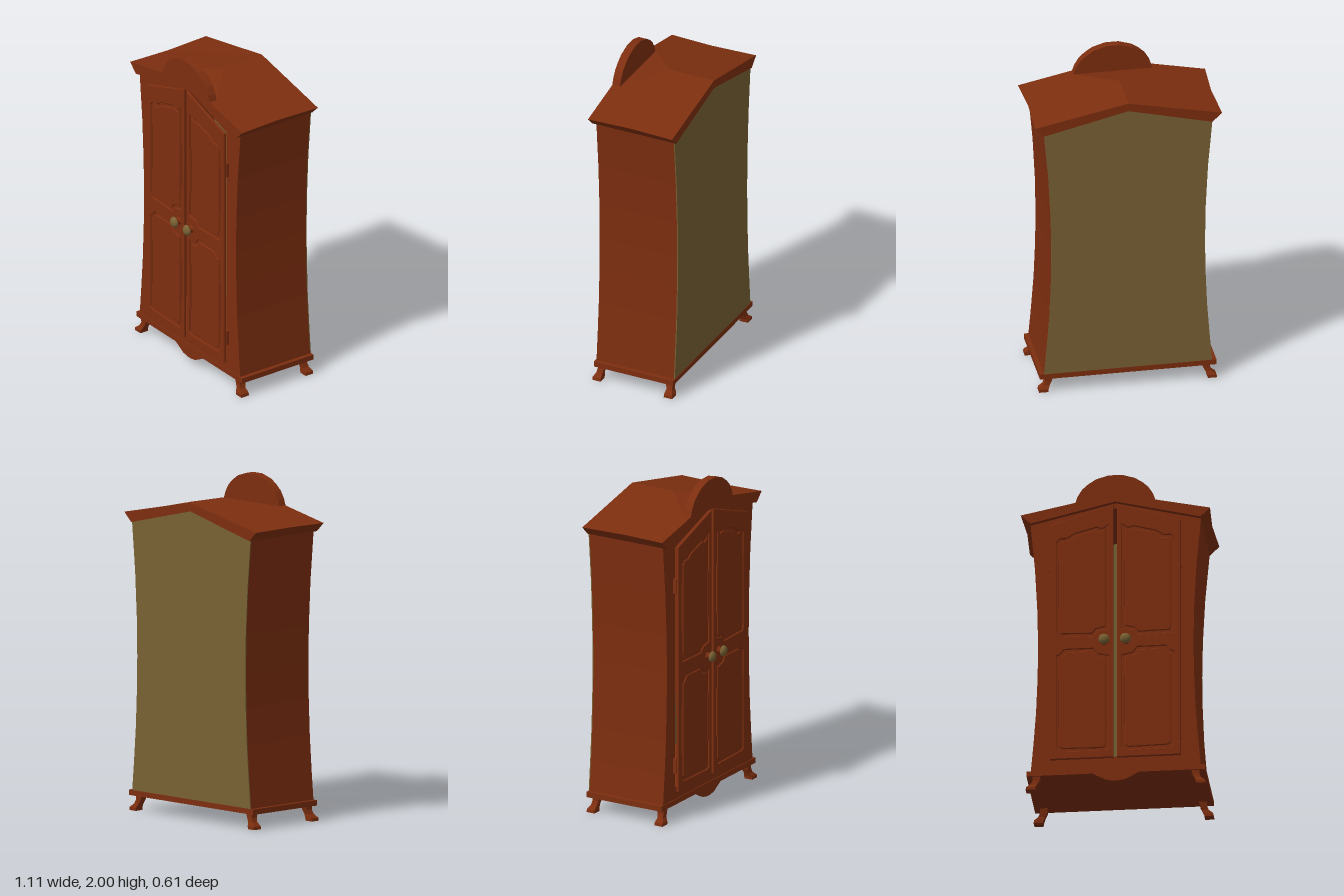
import * as THREE from 'three';

const wood = new THREE.MeshStandardMaterial({ color: 0x7d2e0f });
wood.name = 'reddish brown wood';
const olive = new THREE.MeshStandardMaterial({ color: 0x786133 });
olive.name = 'olive tan';

const V = (p) => new THREE.Vector2(p[0], p[1]);

function add(parent, name, geometry, material = wood, x = 0, y = 0, z = 0) {
  const mesh = new THREE.Mesh(geometry, material);
  mesh.name = name;
  mesh.position.set(x, y, z);
  parent.add(mesh);
  return mesh;
}

// Flat plate from an outline, optional holes and bevel, spanning z0..z1
function plate(points, z0, z1, holes = [], bevel = 0) {
  const shape = new THREE.Shape(points.map(V));
  shape.holes = holes.map((h) => new THREE.Path(h.map(V)));
  const geo = new THREE.ExtrudeGeometry(shape, {
    depth: z1 - z0 - 2 * bevel, bevelEnabled: bevel > 0, bevelThickness: bevel,
    bevelSize: bevel, bevelOffset: -bevel, bevelSegments: 1,
  });
  return geo.translate(0, 0, z0 + bevel);
}

// Flat-faced solid through equal-sized rings of [x, y, z]
function loft(rings) {
  const n = rings[0].length, pos = [];
  const quad = (a, b, c, d) => pos.push(...a, ...b, ...c, ...a, ...c, ...d);
  for (let r = 0; r < rings.length - 1; r++) {
    const a = rings[r], b = rings[r + 1];
    for (let i = 0; i < n; i++) {
      const j = (i + 1) % n;
      quad(a[i], a[j], b[j], b[i]);
    }
  }
  const s = rings[0], e = rings[rings.length - 1];
  for (let i = 0; i < n / 2 - 1; i++) {
    quad(e[i], e[i + 1], e[n - 2 - i], e[n - 1 - i]);
    quad(s[n - 1 - i], s[n - 2 - i], s[i + 1], s[i]);
  }
  const geo = new THREE.BufferGeometry();
  geo.setAttribute('position', new THREE.Float32BufferAttribute(pos, 3));
  geo.computeVertexNormals();
  return geo;
}

// Waisted body outline with a gabled top, inset by t
function bodyOutline(t) {
  const right = [[0.5, 0.12 + t], [0.484, 0.3], [0.469, 0.5], [0.46, 0.72], [0.457, 0.92],
    [0.461, 1.15], [0.475, 1.42], [0.501, 1.712 - t]].map(([x, y]) => [x - t, y]);
  const left = right.map(([x, y]) => [-x, y]).reverse();
  return [...right, [0, 1.832 - t], ...left];
}

function roofRing(z, x, dipped) {
  const ring = [-0.5, -0.235, 0, 0.235, 0.5].map((b) => [b, 1.83 - 0.24 * Math.abs(b), z]);
  const w = dipped ? 0.235 : 0, y = dipped ? 1.832 : 1.88;
  ring.push([x, 1.765, z], [w, y, z], [0, y, z], [-w, y, z], [-x, 1.765, z]);
  return ring;
}

function addDoor(parent, s) {
  const door = new THREE.Group();
  door.name = s > 0 ? 'leftDoor' : 'rightDoor';
  parent.add(door);
  const side = (pts) => pts.map(([x, y]) => [s * x, y]);
  const upper = [[0.345, 1], [0.335, 0.97], [0.13, 0.965], [0.105, 0.995], [0.04, 1.01],
    [0.04, 1.68], [0.075, 1.655], [0.11, 1.665], [0.24, 1.63], [0.285, 1.6], [0.325, 1.6], [0.345, 1.575]];
  const lower = [[0.345, 0.245], [0.325, 0.23], [0.06, 0.225], [0.04, 0.24], [0.04, 0.835],
    [0.105, 0.85], [0.13, 0.885], [0.3, 0.885], [0.325, 0.855], [0.345, 0.845]];
  const outline = [[0.01, 0.178], [0.385, 0.178], [0.385, 1.69], [0.01, 1.815]];
  add(door, 'doorFrame', plate(side(outline), 0.235, 0.252, [side(upper), side(lower)], 0.004));

  // Recessed panels with a raised field and slim side fillets
  for (const [pts, name, cy, y0, y1] of [
    [upper, 'upperPanel', 1.31, 1.16, 1.45], [lower, 'lowerPanel', 0.555, 0.4, 0.69]]) {
    add(door, name, plate(side(pts), 0.237, 0.244));
    const field = pts.map(([x, y]) => [0.1925 + (x - 0.1925) * 0.89, cy + (y - cy) * 0.95]);
    add(door, name + 'Field', plate(side(field), 0.24, 0.251, [], 0.004));
    for (const x of [0.336, 0.049]) {
      add(door, name + 'Fillet', new THREE.BoxGeometry(0.007, y1 - y0, 0.012), wood, s * x, (y0 + y1) / 2, 0.246);
    }
  }

  // Knob: wooden stem and rim, tan cap
  const lathe = (pts) => new THREE.LatheGeometry(pts.map(V), 20).rotateX(Math.PI / 2);
  add(door, 'knobStem', lathe([[0.024, 0], [0.022, 0.006], [0.014, 0.012], [0.016, 0.02],
    [0.028, 0.026], [0.033, 0.032]]), wood, s * 0.063, 0.927, 0.25);
  add(door, 'knobCap', lathe([[0.033, 0.032], [0.031, 0.041], [0.024, 0.049], [0.013, 0.054], [0, 0.055]]),
    olive, s * 0.063, 0.927, 0.25);

  // Hinges
  for (const y of [0.335, 1.445]) {
    add(door, 'hinge', new THREE.BoxGeometry(0.06, 0.09, 0.022), wood, s * 0.36, y, 0.226);
  }
}

export function createModel() {
  const model = new THREE.Group();
  model.name = 'wardrobe';

  // Hollow carcass, front frame and back board
  const opening = [[0.365, 0.195], [0.365, 1.68], [0, 1.8], [-0.365, 1.68], [-0.365, 0.195]];
  add(model, 'carcass', plate(bodyOutline(0), -0.288, 0.2, [bodyOutline(0.015)]));
  add(model, 'frontFrame', plate(bodyOutline(0), 0.2, 0.217, [opening]));
  add(model, 'backBoard', plate(bodyOutline(0), -0.294, -0.288), olive);

  // Gabled roof, dipping behind the crest
  add(model, 'roof', loft([roofRing(-0.303, 0.557, false), roofRing(-0.02, 0.544, false),
    roofRing(0.195, 0.554, true), roofRing(0.245, 0.557, true)]));
  const half = [[0.235, 1.832], [0.222, 1.87], [0.195, 1.915], [0.16, 1.947], [0.115, 1.977], [0.04, 2]];
  const crest = [...half, ...half.map(([x, y]) => [-x, y]).reverse()];
  add(model, 'crest', plate(crest, 0.195, 0.245));

  // Plinth and scalloped apron
  add(model, 'plinth', new THREE.BoxGeometry(1.05, 0.032, 0.517), wood, 0, 0.106, -0.0365);
  const scallop = [[-0.145, 0.095], [-0.1, 0.07], [-0.06, 0.048], [-0.02, 0.04],
    [0.02, 0.04], [0.06, 0.048], [0.1, 0.07], [0.145, 0.095]];
  add(model, 'apron', plate(scallop, 0.205, 0.222));

  // Outward-curving feet: [height, x centre, z centre, half width]
  const levels = [[0, 0.502, 0.203, 0.027], [0.018, 0.5, 0.203, 0.027], [0.04, 0.482, 0.198, 0.019],
    [0.065, 0.47, 0.193, 0.02], [0.095, 0.467, 0.19, 0.024]];
  const corners = [[1, 1], [1, -1], [-1, -1], [-1, 1]];
  for (const [sx, sz] of corners) {
    const rings = levels.map(([y, x, z, w]) =>
      corners.map(([a, b]) => [sx * x + a * w, y, -0.03 + sz * (z + 0.03) + b * w]));
    add(model, (sz > 0 ? 'front' : 'back') + (sx > 0 ? 'Left' : 'Right') + 'Foot', loft(rings));
  }

  for (const s of [1, -1]) addDoor(model, s);
  return model;
}
